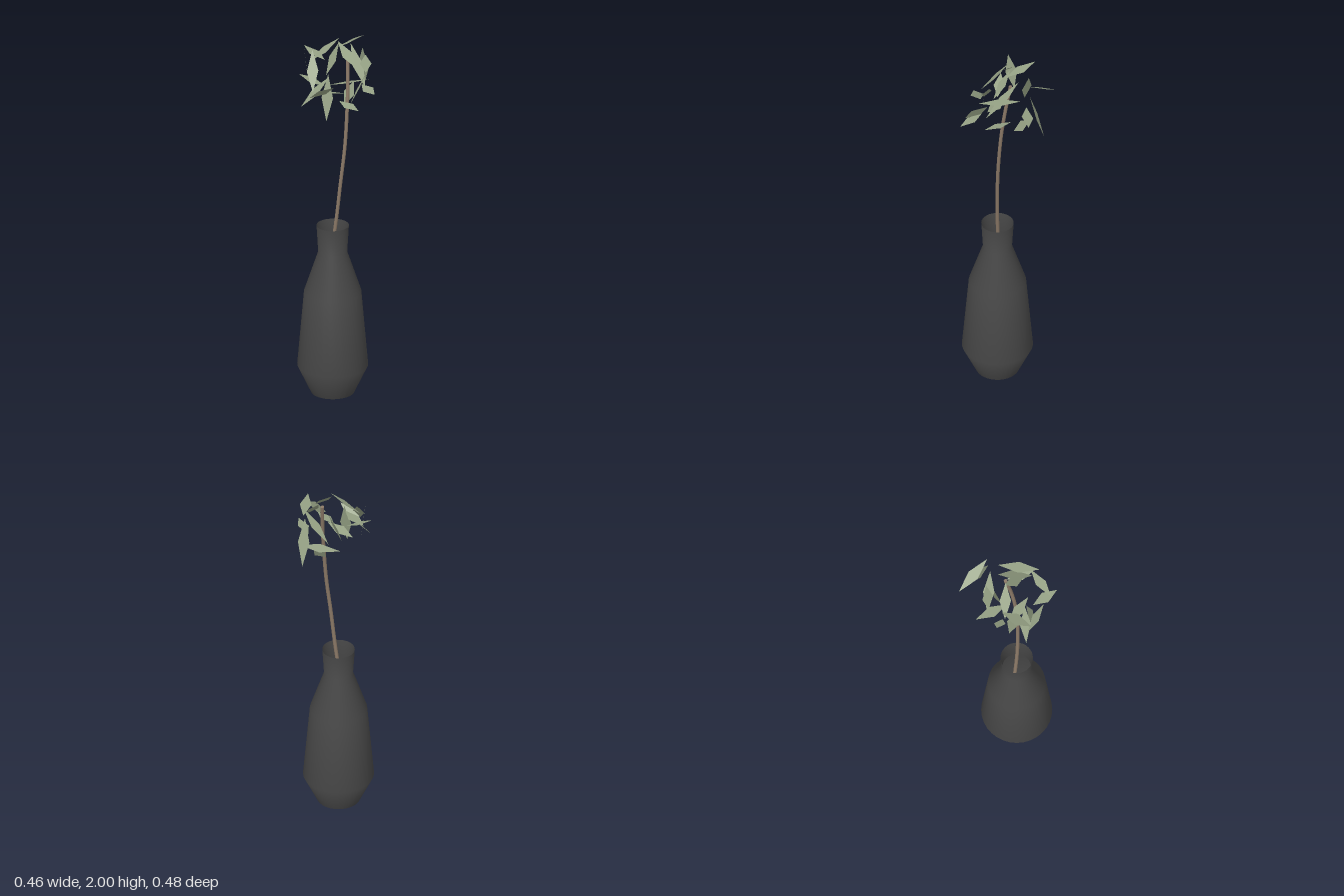
import * as THREE from 'three';

const V = (x, y, z) => new THREE.Vector3(x, y, z);

// Flat diamond leaf between two tips, rolled about its long axis
function leafGeometry(a, b, roll, width = 0.062) {
  const axis = b.clone().sub(a).normalize();
  const side = V(-axis.z, 0, axis.x).normalize().applyAxisAngle(axis, roll).multiplyScalar(width / 2);
  const mid = a.clone().lerp(b, 0.5);
  const l = mid.clone().add(side), r = mid.clone().sub(side);
  const g = new THREE.BufferGeometry().setFromPoints([a, r, b, a, b, l]);
  g.computeVertexNormals();
  return g;
}

// Each leaf: tip x, y, z, other tip x, y, z, roll
const LEAVES = [
  [-0.13, 1.84, -0.23, 0.066, 1.97, -0.18, 0.2],
  [0.03, 1.64, -0.24, 0.06, 1.90, -0.17, 0],
  [0.094, 1.72, -0.18, -0.10, 1.69, -0.07, 0.2],
  [-0.10, 1.75, -0.06, -0.05, 1.93, -0.11, 0.3],
  [0.01, 1.60, -0.05, 0.02, 1.71, -0.15, 0.9],
  [0.096, 1.88, -0.134, 0.20, 1.87, 0.064, 0],
  [0.03, 1.95, -0.09, 0.18, 1.77, 0.03, 0],
  [0.10, 1.73, -0.08, 0.228, 1.73, 0.015, 0.2],
  [0.18, 1.85, 0.02, 0.155, 1.71, 0.165, 0.8],
  [0.065, 1.70, 0.11, 0.21, 1.69, 0.167, 0.1],
  [-0.01, 1.98, -0.02, 0.12, 1.86, 0.015, 0.3],
  [-0.23, 1.90, -0.057, -0.06, 1.88, 0.03, 0],
  [-0.135, 1.87, 0.065, 0.0, 2.0, -0.02, 0.2],
  [-0.165, 1.95, 0.07, -0.16, 1.74, 0.03, 0.9],
  [0.08, 1.73, 0.07, -0.09, 1.70, 0.06, 0.2],
  [-0.13, 1.93, 0.04, -0.055, 1.75, 0.18, 0.2],
  [0.07, 1.80, 0.175, -0.08, 1.71, 0.172, 0.6],
  [0.0, 1.84, 0.11, 0.015, 1.59, 0.16, 0],
  [-0.17, 1.81, 0.115, -0.04, 1.75, 0.07, 0.2],
  [-0.12, 1.66, 0.19, 0.0, 1.82, 0.10, 0.3],
];

export function createModel() {
  const group = new THREE.Group();
  const add = (name, geometry, material, parent = group) => {
    const mesh = new THREE.Mesh(geometry, material);
    mesh.name = name;
    parent.add(mesh);
    return mesh;
  };
  const mat = (color, options = {}) => new THREE.MeshStandardMaterial({ color, ...options });

  // Bottle vase, open at the mouth
  const vase = new THREE.Group();
  vase.name = 'vase';
  vase.position.set(-0.003, 0, 0.052);
  group.add(vase);
  const vaseMat = mat(0x484848, { side: THREE.DoubleSide });
  const profile = [[0.115, 0], [0.188, 0.155], [0.152, 0.575], [0.077, 0.8], [0.086, 0.952]]
    .map(([r, y]) => new THREE.Vector2(r, y));
  add('vaseBody', new THREE.LatheGeometry(profile, 32), vaseMat, vase);
  add('vaseBase', new THREE.CircleGeometry(0.115, 32).rotateX(Math.PI / 2), vaseMat, vase);

  // Curved stem
  const path = new THREE.CatmullRomCurve3([
    V(-0.05, 0.55, 0.055), V(0.01, 0.95, 0.045), V(0.035, 1.2, 0.034), V(0.052, 1.4, 0.018),
    V(0.055, 1.6, -0.001), V(0.049, 1.76, -0.022), V(0.035, 1.91, -0.044),
  ]);
  const stemMat = mat(0x8a7866);
  add('stem', new THREE.TubeGeometry(path, 24, 0.01, 8), stemMat);
  const tip = add('stemTip', new THREE.CircleGeometry(0.01, 8), stemMat);
  tip.position.copy(path.getPoint(1));
  tip.lookAt(path.getPoint(1).add(path.getTangent(1)));

  // Loose crown of leaves
  const leaves = new THREE.Group();
  leaves.name = 'leaves';
  group.add(leaves);
  const leafMat = mat(0x96a285, { side: THREE.DoubleSide, flatShading: true });
  for (const [ax, ay, az, bx, by, bz, roll] of LEAVES) {
    add('leaf', leafGeometry(V(ax, ay, az), V(bx, by, bz), roll), leafMat, leaves);
  }
  return group;
}
